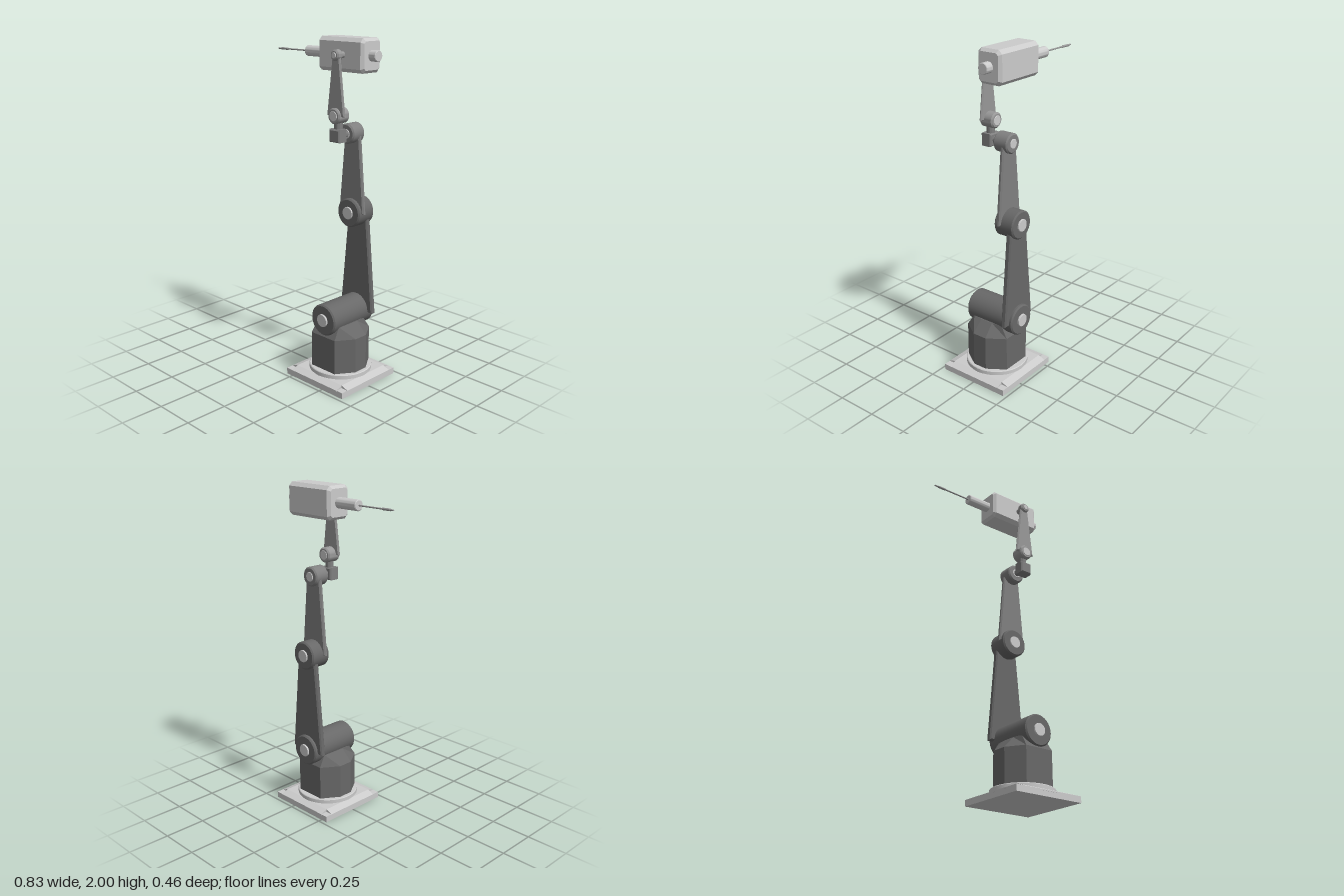
import * as THREE from 'three';
import { toCreasedNormals } from 'three/addons/utils/BufferGeometryUtils.js';

const CX = 0.184; // x of the arm's centre line

const mat = (color) => new THREE.MeshStandardMaterial({ color });
const light = mat(0xcccccc), mid = mat(0x989898), dim = mat(0x808080), dark = mat(0x686868);

export function createModel() {
  const root = new THREE.Group();

  const add = (name, geo, material, x = 0, y = 0, z = 0, parent = root) => {
    const m = new THREE.Mesh(geo, material);
    m.name = name;
    m.position.set(x, y, z);
    parent.add(m);
    return m;
  };

  // Chamfered round bar along +y, from 0 to len
  const bar = (r, len, c = 0.008) => toCreasedNormals(new THREE.LatheGeometry([
    [0, 0], [r - c, 0], [r, c], [r, len - c], [r - c, len], [0, len],
  ].map(([a, b]) => new THREE.Vector2(a, b)), 32), 0.5);
  const barZ = (r, z0, z1, c) => bar(r, z1 - z0, c).rotateX(Math.PI / 2).translate(0, 0, z0);
  const barX = (r, x0, x1, c) => bar(r, x1 - x0, c).rotateZ(-Math.PI / 2).translate(x0, 0, 0);

  // Joint drum along z with a lighter pin showing at both ends
  const joint = (name, y, r, z0, z1, pinR, pin, material) => {
    const g = new THREE.Group();
    g.name = name;
    g.position.set(CX, y, 0);
    add('drum', barZ(r, z0, z1), material, 0, 0, 0, g);
    add('pin', barZ(pinR, z0 - pin, z1 + pin, 0.002), light, 0, 0, 0, g);
    root.add(g);
  };

  // Tapered arm plate with bevelled edges
  const arm = (name, y0, y1, w0, w1, z0, z1, material) => {
    const b = 0.008;
    const s = new THREE.Shape([[-w0 + b, y0 + b], [w0 - b, y0 + b], [w1 - b, y1 - b], [-w1 + b, y1 - b]]
      .map(([x, y]) => new THREE.Vector2(x, y)));
    const geo = new THREE.ExtrudeGeometry(s, {
      depth: z1 - z0 - 2 * b, bevelEnabled: true, bevelSize: b, bevelThickness: b, bevelSegments: 1,
    });
    add(name, geo, material, CX, 0, z0 + b);
  };

  // Base plate: two crossing sloped slabs leave the corner pockets open
  add('basePlate', new THREE.BoxGeometry(0.455, 0.037, 0.455), light, CX, 0.0185, 0);
  const slope = new THREE.Shape([[-0.228, 0.03], [0.228, 0.03], [0.228, 0.037], [0.183, 0.054], [-0.183, 0.054], [-0.228, 0.037]]
    .map(([x, y]) => new THREE.Vector2(x, y)));
  for (const turn of [0, Math.PI / 2]) {
    const geo = new THREE.ExtrudeGeometry(slope, { depth: 0.366, bevelEnabled: false })
      .translate(0, 0, -0.183).rotateY(turn);
    add('basePlateTop', geo, light, CX);
  }
  add('turntable', bar(0.187, 0.035, 0.004), light, CX, 0.045, 0);

  // Eight-sided body with sloping shoulders, built from three rings
  const ring = (y, ax, az, bx, bz) => [
    [ax, az], [bx, bz], [-bx, bz], [-ax, az], [-ax, -az], [-bx, -bz], [bx, -bz], [ax, -az],
  ].map(([x, z]) => [x, y, z]);
  const rings = [
    ring(0.07, 0.163, 0.045, 0.093, 0.15),
    ring(0.29, 0.163, 0.045, 0.093, 0.15),
    ring(0.36, 0.095, 0.04, 0.085, 0.105),
  ];
  const pos = [];
  const tri = (a, b, c) => pos.push(...a, ...b, ...c);
  for (let i = 0; i < 8; i++) {
    const j = (i + 1) % 8;
    for (let k = 0; k < 2; k++) {
      const lo = rings[k], hi = rings[k + 1];
      tri(lo[i], hi[i], hi[j]);
      tri(lo[i], hi[j], lo[j]);
    }
    tri([0, 0.36, 0], rings[2][j], rings[2][i]);
    tri([0, 0.07, 0], rings[0][i], rings[0][j]);
  }
  const body = new THREE.BufferGeometry();
  body.setAttribute('position', new THREE.Float32BufferAttribute(pos, 3));
  body.computeVertexNormals();
  add('body', body, dark, CX);

  // Shoulder, lower arm, elbow, upper arm
  joint('shoulder', 0.392, 0.094, -0.188, 0.152, 0.038, 0.011, dark);
  arm('lowerArm', 0.383, 1.0, 0.126, 0.07, -0.168, -0.132, dark);
  joint('elbow', 1.0, 0.085, -0.187, -0.055, 0.037, 0.009, dark);
  arm('upperArm', 1.0, 1.465, 0.096, 0.056, -0.106, -0.079, dim);

  // Wrist: drum, short shaft, knuckle block, neck, second drum
  joint('lowerWrist', 1.467, 0.058, -0.128, -0.031, 0.028, 0.004, dim);
  add('wristShaft', barZ(0.02, -0.04, 0.005, 0.001), dim, CX, 1.467, 0);
  const knuckle = new THREE.ExtrudeGeometry(new THREE.Shape([[-0.032, -0.03], [0.032, -0.03], [0.032, 0.03], [-0.032, 0.03]]
    .map(([x, y]) => new THREE.Vector2(x, y))),
  { depth: 0.054, bevelEnabled: true, bevelSize: 0.007, bevelThickness: 0.007, bevelSegments: 1 });
  add('knuckle', knuckle, dim, CX, 1.467, 0.007);
  add('wristNeck', bar(0.024, 0.06, 0.001), dim, CX, 1.49, 0.03);
  joint('upperWrist', 1.578, 0.045, -0.016, 0.073, 0.028, 0.003, mid);

  // Forearm and the joint that carries the head
  arm('forearm', 1.575, 1.905, 0.067, 0.029, 0.039, 0.058, mid);
  joint('headJoint', 1.908, 0.031, 0.026, 0.07, 0.016, 0.005, mid);
  add('headShaft', barZ(0.018, -0.01, 0.035, 0.001), mid, CX, 1.908, 0);

  // Tool head: box with every edge chamfered
  const head = new THREE.Group();
  head.name = 'toolHead';
  head.position.set(0, 1.906, -0.079);
  root.add(head);
  const b = 0.016, hz = 0.079 - b, hy = 0.094 - b, c = 0.012;
  const section = new THREE.Shape([
    [hz, -hy + c], [hz, hy - c], [hz - c, hy], [-hz + c, hy], [-hz, hy - c], [-hz, -hy + c], [-hz + c, -hy], [hz - c, -hy],
  ].map(([x, y]) => new THREE.Vector2(x, y)));
  const housing = new THREE.ExtrudeGeometry(section, {
    depth: 0.34 - 2 * b, bevelEnabled: true, bevelSize: b, bevelThickness: b, bevelSegments: 1,
  }).rotateY(Math.PI / 2).translate(-0.012 + b, 0, 0);
  add('housing', housing, light, 0, 0, 0, head);
  add('rearStub', barX(0.031, 0.31, 0.375, 0.003), light, 0, 0, 0, head);
  add('nozzle', barX(0.031, -0.165, 0, 0.004), light, 0, 0, 0, head);
  add('needle', barX(0.0045, -0.415, -0.15, 0.001), mid, 0, 0, 0, head);
  add('needleTip', barX(0.007, -0.392, -0.335, 0.002), mid, 0, 0, 0, head);

  return root;
}
